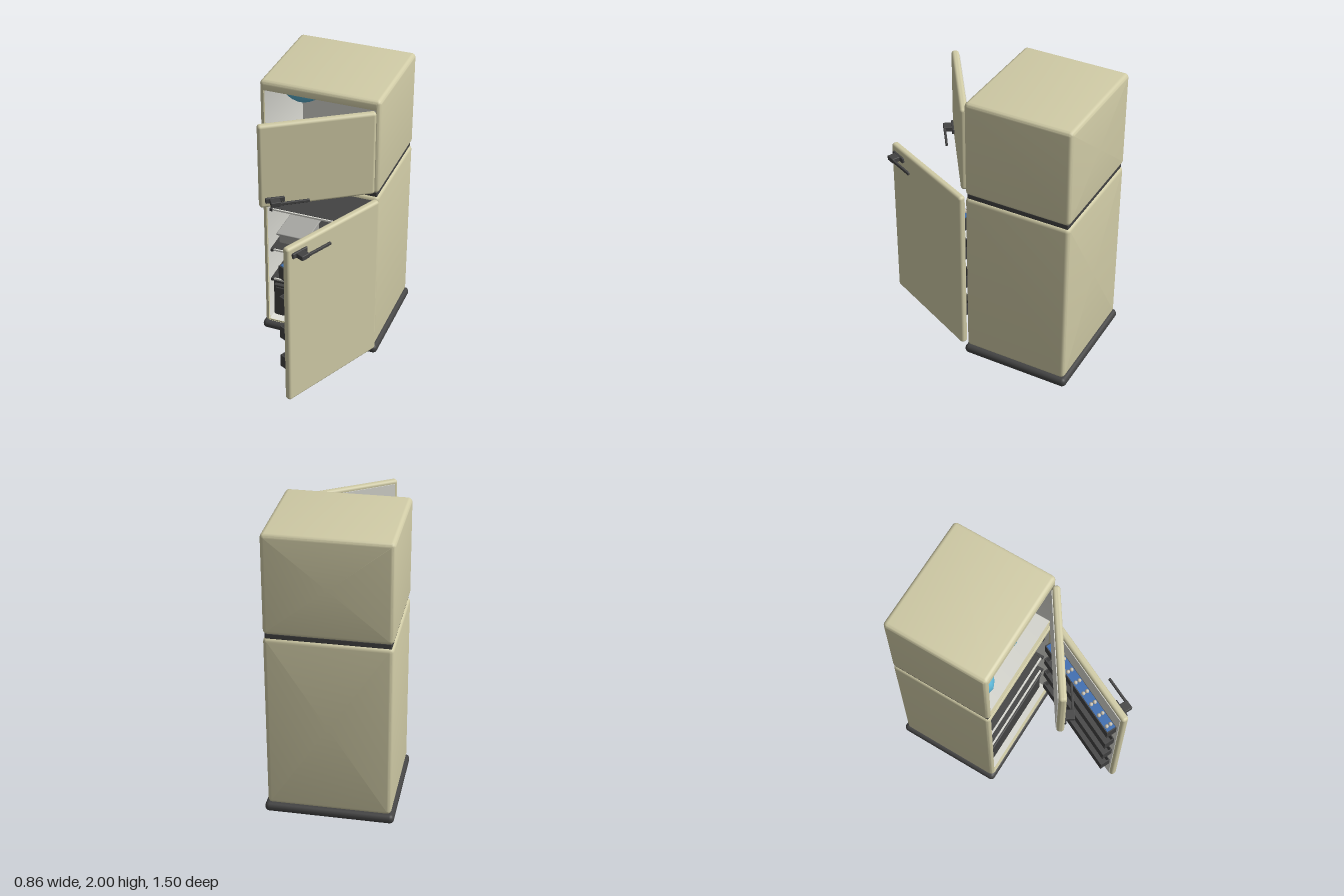
import * as THREE from 'three';
import { toCreasedNormals } from 'three/addons/utils/BufferGeometryUtils.js';
import { RoundedBoxGeometry } from 'three/addons/geometries/RoundedBoxGeometry.js';

const mat = (name, color) => {
  const m = new THREE.MeshStandardMaterial({ color });
  m.name = name;
  return m;
};
const M = {
  cream: mat('cream enamel', 0xd0cba6),
  dark: mat('dark plastic', 0x434343),
  white: mat('white liner', 0xd9d9d2),
  ice: mat('blue ice', 0x5cb4d4),
  blue: mat('blue tray', 0x3c6db0),
  egg: mat('egg shell', 0xc9c2b4),
  grey: mat('grey plastic', 0xa6a6a2),
};

function add(parent, name, geometry, material, x = 0, y = 0, z = 0) {
  const mesh = new THREE.Mesh(geometry, material);
  mesh.name = name;
  mesh.position.set(x, y, z);
  parent.add(mesh);
  return mesh;
}

// Box given by its limits, with optionally rounded edges
function box(parent, name, material, [x0, x1], [y0, y1], [z0, z1], r = 0) {
  const s = [x1 - x0, y1 - y0, z1 - z0];
  const g = r ? new RoundedBoxGeometry(...s, 4, r) : new THREE.BoxGeometry(...s);
  return add(parent, name, g, material, (x0 + x1) / 2, (y0 + y1) / 2, (z0 + z1) / 2);
}

// Skin over rounded rectangles, each [halfWidth, yMin, yMax, cornerRadius, z]
function loft(sections) {
  const pos = [], idx = [], steps = 5, n = 4 * (steps + 1);
  for (const [hw, y0, y1, r, z] of sections) {
    for (let c = 0; c < 4; c++) {
      const cx = (c === 0 || c === 3 ? 1 : -1) * (hw - r);
      const cy = c < 2 ? y1 - r : y0 + r;
      for (let k = 0; k <= steps; k++) {
        const a = (c + k / steps) * Math.PI / 2;
        pos.push(cx + r * Math.cos(a), cy + r * Math.sin(a), z);
      }
    }
  }
  for (let i = 0; i < sections.length - 1; i++) {
    for (let j = 0; j < n; j++) {
      const a = i * n + j, b = i * n + (j + 1) % n;
      idx.push(a, b, b + n, a, b + n, a + n);
    }
  }
  const g = new THREE.BufferGeometry();
  g.setAttribute('position', new THREE.Float32BufferAttribute(pos, 3));
  g.setIndex(idx);
  return toCreasedNormals(g, 0.6);
}

// Hollow cabinet with rounded outer edges and a white liner
function cabinet(parent, name, y0, y1, open0, open1) {
  const W = 0.41, back = -0.737, R = 0.028, hole = 0.381, mid = (y0 + y1) / 2;
  const ring = (inset, z) => [W - inset, y0 + inset, y1 - inset, Math.max(R - inset, 0.003), z];
  const arc = [0, 1, 2, 3, 4, 5].map(i => i / 5 * Math.PI / 2);
  const shell = [
    [0, mid, mid, 0, back],
    ...arc.map(a => ring(R * (1 - Math.sin(a)), back + R * (1 - Math.cos(a)))),
    ...arc.map(a => ring(R * (1 - Math.cos(a)), -R * (1 - Math.sin(a)))),
    [hole, open0, open1, 0.004, 0],
    [hole, open0, open1, 0.004, -0.02],
  ];
  add(parent, name + 'Shell', loft(shell), M.cream);
  const liner = [
    [hole, open0, open1, 0.004, -0.02],
    [hole, open0, open1, 0.004, -0.68],
    [0, mid, mid, 0, -0.68],
  ];
  add(parent, name + 'Liner', loft(liner), M.white);
}

// Door hinged at its right edge: extends to -x, outside faces +z
function door(parent, name, hx, hz, degrees, width, y0, y1, handleY) {
  const g = new THREE.Group();
  g.name = name;
  g.position.set(hx, 0, hz);
  g.rotation.y = THREE.MathUtils.degToRad(degrees);
  parent.add(g);
  box(g, name + 'Panel', M.cream, [-width, 0], [y0, y1], [-0.025, 0.025], 0.02);
  box(g, name + 'Liner', M.white, [-width + 0.025, -0.025], [y0 + 0.025, y1 - 0.025], [-0.03, -0.022]);
  // Handle: mount, post and a bar reaching back towards the hinge
  const e = -width + 0.035, h = handleY;
  box(g, 'handleMount', M.dark, [e, e + 0.125], [h - 0.019, h + 0.019], [0.022, 0.04], 0.006);
  box(g, 'handlePost', M.dark, [e + 0.025, e + 0.09], [h - 0.017, h + 0.017], [0.036, 0.095], 0.005);
  box(g, 'handleBar', M.dark, [e + 0.03, e + 0.275], [h - 0.01, h + 0.01], [0.078, 0.094], 0.004);
  return g;
}

// Lumpy ice clipped to the freezer compartment
function iceLump(parent, x, y, z, rx, ry, rz) {
  const g = new THREE.SphereGeometry(1, 28, 18), p = g.attributes.position;
  for (let i = 0; i < p.count; i++) {
    const a = p.getX(i), b = p.getY(i), c = p.getZ(i);
    const k = 1 + 0.06 * Math.sin(5 * a + 2 * c) + 0.05 * Math.sin(6 * c + 3 * b);
    p.setXYZ(i,
      THREE.MathUtils.clamp(x + a * rx * k, -0.378, 0.378),
      THREE.MathUtils.clamp(y + b * ry * k, 1.338, 1.932),
      THREE.MathUtils.clamp(z + c * rz * k, -0.677, -0.03));
  }
  g.computeVertexNormals();
  add(parent, 'iceLump', g, M.ice);
}

export function createModel() {
  const fridge = new THREE.Group();
  fridge.name = 'refrigerator';

  // Plinth, the two cabinets and the seal between them
  box(fridge, 'base', M.dark, [-0.43, 0.43], [0, 0.065], [-0.755, 0.012], 0.03);
  cabinet(fridge, 'lower', 0.063, 1.297, 0.078, 1.285);
  cabinet(fridge, 'freezer', 1.322, 2, 1.336, 1.935);
  box(fridge, 'seal', M.dark, [-0.398, 0.398], [1.29, 1.33], [-0.725, -0.012], 0.008);

  // Shelves with a pale front edge and small end brackets
  for (const y of [0.99, 0.655, 0.405]) {
    box(fridge, 'shelf', M.dark, [-0.365, 0.365], [y - 0.008, y + 0.008], [-0.67, -0.07]);
    box(fridge, 'shelfEdge', M.white, [-0.379, 0.379], [y - 0.006, y + 0.006], [-0.072, -0.058]);
    for (const s of [-1, 1]) {
      box(fridge, 'shelfBracket', M.dark, [s * 0.37 - 0.01, s * 0.37 + 0.01], [y - 0.01, y + 0.01], [-0.65, -0.05]);
    }
  }

  // Drawer with a raised rim and pull
  box(fridge, 'drawer', M.dark, [-0.372, 0.372], [0.082, 0.385], [-0.66, -0.075], 0.008);
  box(fridge, 'drawerFront', M.dark, [-0.352, 0.352], [0.092, 0.335], [-0.08, -0.06], 0.006);
  box(fridge, 'drawerPull', M.dark, [-0.36, 0.36], [0.345, 0.365], [-0.08, -0.05], 0.006);

  // Food box and plate
  box(fridge, 'foodBox', M.grey, [-0.35, -0.148], [0.664, 0.74], [-0.4, -0.14], 0.01);
  box(fridge, 'foodBoxLid', M.grey, [-0.366, -0.136], [0.735, 0.752], [-0.415, -0.125], 0.006);
  const plate = [[0, 0], [0.07, 0], [0.12, 0.014], [0.12, 0.018], [0.07, 0.006], [0, 0.006]]
    .map(([x, y]) => new THREE.Vector2(x, y));
  add(fridge, 'plate', new THREE.LatheGeometry(plate, 32), M.grey, -0.205, 0.413, -0.27);

  // Ice grown from the freezer floor and ceiling
  iceLump(fridge, -0.22, 1.36, -0.33, 0.2, 0.15, 0.24);
  iceLump(fridge, 0.13, 1.35, -0.38, 0.28, 0.13, 0.25);
  iceLump(fridge, -0.2, 1.93, -0.33, 0.22, 0.15, 0.24);
  iceLump(fridge, 0.16, 1.94, -0.38, 0.25, 0.12, 0.25);
  const spikes = [[-0.335, -0.25, 0.24], [0.05, -0.35, 0.2], [0.24, -0.3, 0.18]];
  for (const [x, z, h] of spikes) {
    const r = 0.045;
    const profile = [[r, 0], [r * 0.75, h * 0.3], [r * 0.45, h * 0.65], [r * 0.2, h * 0.9], [0, h]]
      .map(([a, b]) => new THREE.Vector2(a, b));
    const spike = add(fridge, 'iceSpike', new THREE.LatheGeometry(profile, 16), M.ice, x, 1.338, z);
    spike.rotation.z = x < 0 ? 0.08 : -0.05;
  }

  // Doors
  door(fridge, 'freezerDoor', 0.385, 0.01, 34, 0.755, 1.34, 1.937, 1.4);
  const lower = door(fridge, 'lowerDoor', 0.409, 0.014, 64.5, 0.81, 0.075, 1.296, 1.235);

  // Door racks: open trays, the top one holding eggs
  for (const y of [0.28, 0.52, 0.76, 1.0]) {
    const t = y + 0.093, X = [-0.765, -0.035];
    box(lower, 'rackFloor', M.dark, X, [y, y + 0.012], [-0.105, -0.028]);
    box(lower, 'rackFront', M.dark, X, [y, t], [-0.105, -0.097]);
    box(lower, 'rackBack', M.dark, X, [y, t], [-0.036, -0.028]);
    for (const x of X) box(lower, 'rackEnd', M.dark, [x - 0.004, x + 0.004], [y, t], [-0.105, -0.028]);
  }
  box(lower, 'eggTray', M.blue, [-0.76, -0.04], [1.075, 1.097], [-0.099, -0.034]);
  for (let i = 0; i < 8; i++) {
    for (const z of [-0.081, -0.052]) {
      const egg = add(lower, 'egg', new THREE.SphereGeometry(0.014, 14, 10), M.egg, -0.09 - i * 0.091, 1.098, z);
      egg.scale.y = 1.3;
    }
  }
  return fridge;
}
